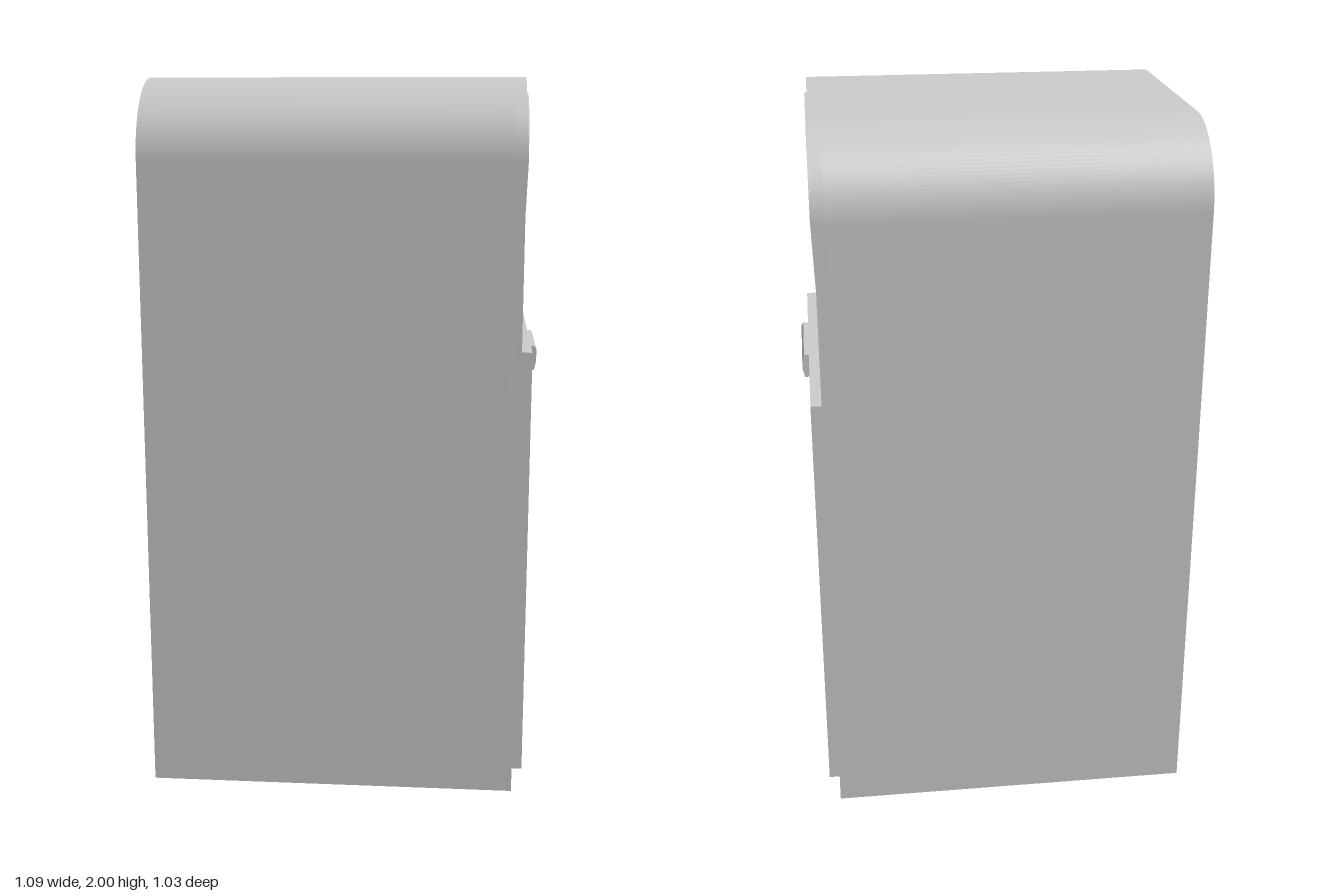
import * as THREE from 'three';
import { toCreasedNormals } from 'three/addons/utils/BufferGeometryUtils.js';

const material = new THREE.MeshStandardMaterial({ color: 0xcccccc });
const BACK = -0.545, FACE = 0.49, POCKET = 0.46;

// Upright outline with rounded top corners, symmetric about the middle
function archPath(PathType, half, bottom, top, r) {
  const p = new PathType();
  p.moveTo(-half, bottom);
  p.lineTo(half, bottom);
  p.lineTo(half, top - r);
  p.absarc(half - r, top - r, r, 0, Math.PI / 2, false);
  p.lineTo(-half + r, top);
  p.absarc(-half + r, top - r, r, Math.PI / 2, Math.PI, false);
  p.lineTo(-half, bottom);
  return p;
}

// Extrude an outline along x from x0 to x1
function extrudeX(shape, x0, x1) {
  const g = new THREE.ExtrudeGeometry(shape, { depth: x1 - x0, bevelEnabled: false, curveSegments: 16 });
  return g.rotateY(Math.PI / 2).translate(x0, 0, 0);
}

export function createModel() {
  const model = new THREE.Group();
  model.name = 'bin';
  const add = (name, geometry, parent = model) => {
    const mesh = new THREE.Mesh(geometry, material);
    mesh.name = name;
    parent.add(mesh);
    return mesh;
  };

  // Cabinet with a shallow pocket for the flap
  const outline = () => archPath(THREE.Shape, 0.517, 0, 2, 0.22);
  add('body', toCreasedNormals(extrudeX(outline(), BACK, POCKET), 0.6));
  const frame = outline();
  frame.holes.push(archPath(THREE.Path, 0.475, 1.36, 1.957, 0.178));
  add('flapFrame', toCreasedNormals(extrudeX(frame, POCKET, FACE), 0.6));

  // Swing flap: proud at the top, leaning inward towards the bottom
  const flap = extrudeX(archPath(THREE.Shape, 0.473, 1.362, 1.955, 0.176), POCKET, 0.497);
  const pos = flap.attributes.position;
  for (let i = 0; i < pos.count; i++) {
    const lean = Math.max(0, 1.78 - pos.getY(i)) * 0.037;
    if (pos.getX(i) > 0.48) pos.setX(i, 0.497 - lean);
  }
  add('flap', toCreasedNormals(flap, 0.6));

  // Lower door
  add('door', new THREE.BoxGeometry(0.03, 1.22, 0.95).translate(0.505, 0.66, 0));

  // Hooded pull handle, open underneath
  const handle = new THREE.Group();
  handle.name = 'handle';
  model.add(handle);
  const section = new THREE.Shape([
    [0.52, 1.25], [0.535, 1.25], [0.541, 1.24], [0.541, 1.205],
    [0.535, 1.18], [0.53, 1.18], [0.53, 1.235], [0.52, 1.235],
  ].map(([x, y]) => new THREE.Vector2(x, y)));
  add('handleHood', new THREE.ExtrudeGeometry(section, { depth: 0.283, bevelEnabled: false }).translate(0, 0, -0.036), handle);
  for (const z of [-0.032, 0.243]) {
    add('handleEnd', new THREE.BoxGeometry(0.013, 0.066, 0.008).translate(0.5265, 1.213, z), handle);
  }
  return model;
}
